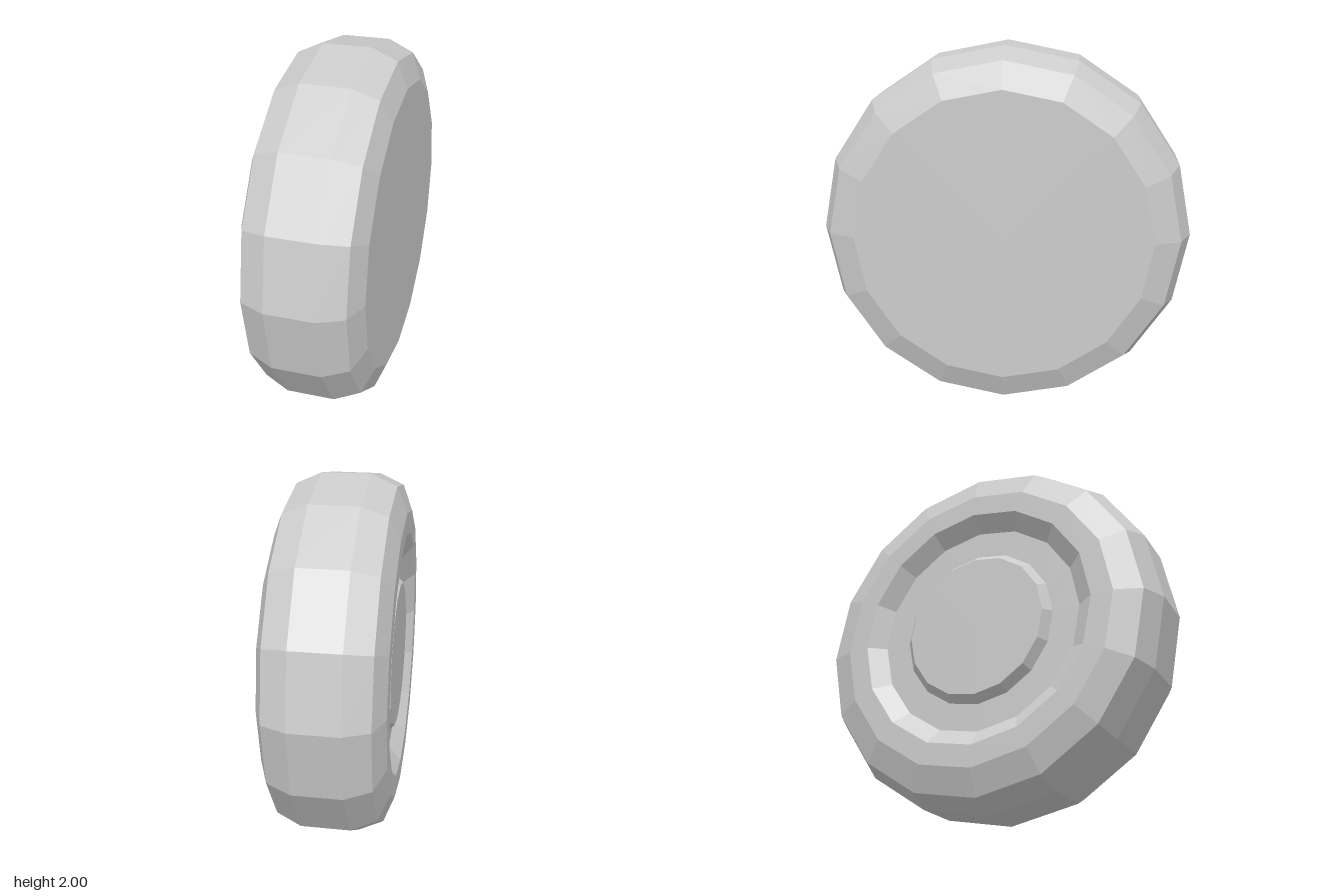
import * as THREE from 'three';

const SIDES = 16;

// Faceted ring turned about the x axis; profile rows are [radius, x], running from -x to +x on the outside.
function turned(name, profile) {
  const points = profile.map(([r, x]) => new THREE.Vector2(r, x));
  const geometry = new THREE.LatheGeometry(points, SIDES);
  geometry.rotateZ(-Math.PI / 2);
  const material = new THREE.MeshStandardMaterial({ color: 0xcccccc, flatShading: true });
  const mesh = new THREE.Mesh(geometry, material);
  mesh.name = name;
  return mesh;
}

export function createModel() {
  const wheel = new THREE.Group();
  wheel.name = 'wheel';

  // raised hub in the middle of the recessed side
  wheel.add(turned('hub', [[0, -0.295], [0.4, -0.295], [0.44, -0.25]]));

  // recess: flat floor and sloping wall up to the rim lip
  wheel.add(turned('rimRecess', [[0.44, -0.25], [0.59, -0.25], [0.68, -0.32]]));

  // tyre: sidewalls, bevelled shoulders and flat tread
  wheel.add(turned('tyre', [
    [0.68, -0.32], [0.8, -0.32], [0.94, -0.265], [1, -0.13],
    [1, 0.13], [0.94, 0.265], [0.8, 0.32],
  ]));

  // plain flat disc closing the other side
  wheel.add(turned('innerDisc', [[0.8, 0.32], [0, 0.32]]));

  wheel.position.y = 1;
  const model = new THREE.Group();
  model.name = 'wheelModel';
  model.add(wheel);
  return model;
}
